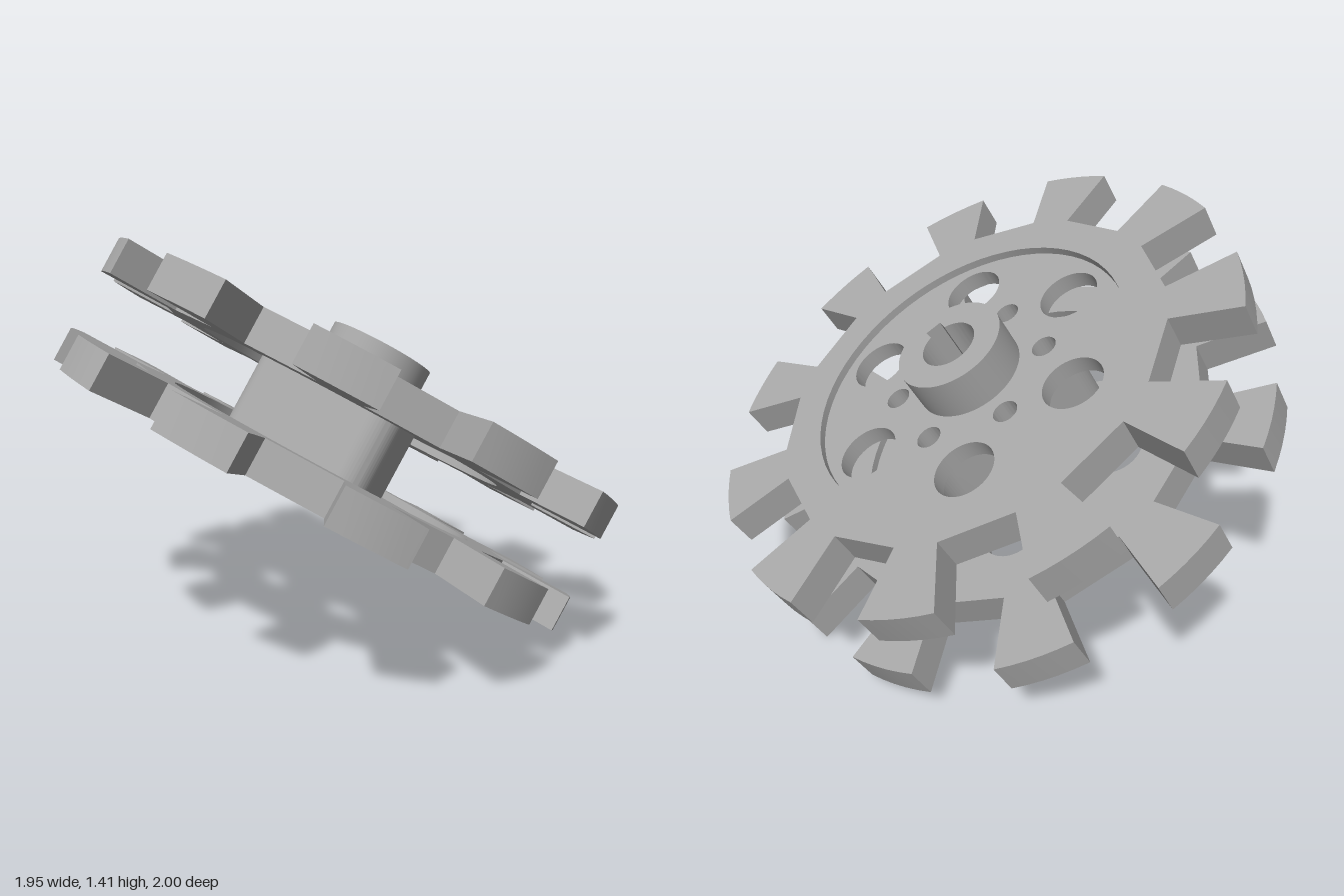
import * as THREE from 'three';
import { toCreasedNormals } from 'three/addons/utils/BufferGeometryUtils.js';

const HALF = 0.235;      // half the height of the disc stack
const THICK = 0.125;     // disc thickness
const RECESS = 0.03;     // depth of the round recess on each disc face
const RECESS_R = 0.6;
const SLOTS = 11;
const BOLT_R = 0.29;     // radius of the bolt circle

const polar = (r, a) => new THREE.Vector2(r * Math.cos(a), r * Math.sin(a));

function circlePath(x, y, r, Type = THREE.Path) {
  const p = new Type();
  p.absarc(x, y, r, 0, Math.PI * 2, false);
  return p;
}

// Round bore with a keyway towards +z
function borePath() {
  const r = 0.1, w = 0.03, a = Math.asin(w / r);
  const p = new THREE.Path();
  p.absarc(0, 0, r, -Math.PI / 2 + a, Math.PI * 1.5 - a, false);
  p.lineTo(-w, -0.135);
  p.lineTo(w, -0.135);
  p.closePath();
  return p;
}

// Outline with tapered flat-bottomed slots; turn is the angle of the first slot
function slottedOutline(turn) {
  const pts = [], step = Math.PI * 2 / SLOTS;
  const root = 0.735, rootHalf = 0.133, mouth = Math.asin(0.15);
  for (let i = 0; i < SLOTS; i++) {
    const a = turn + i * step;
    for (const side of [-1, 1]) {
      const p = new THREE.Vector2(root, side * rootHalf);
      pts.push(p.rotateAround(new THREE.Vector2(), a));
    }
    for (let k = 0; k <= 5; k++) {
      pts.push(polar(1, a + mouth + (step - 2 * mouth) * k / 5));
    }
  }
  return new THREE.Shape(pts);
}

// Triangle with corners rounded about three of the bolt holes
function spacerShape() {
  const s = new THREE.Shape();
  for (let i = 0; i < 3; i++) {
    const a = -Math.PI / 2 + i * Math.PI * 2 / 3, c = polar(BOLT_R, a);
    s.absarc(c.x, c.y, 0.09, a - Math.PI / 3, a + Math.PI / 3, false);
    s.holes.push(circlePath(c.x, c.y, 0.045));
  }
  s.closePath();
  s.holes.push(borePath());
  return s;
}

// Disc web with six large openings and six bolt holes
function webShape() {
  const s = circlePath(0, 0, RECESS_R, THREE.Shape);
  for (let i = 0; i < 6; i++) {
    const big = polar(0.45, i * Math.PI / 3);
    const bolt = polar(BOLT_R, (i + 0.5) * Math.PI / 3);
    s.holes.push(circlePath(big.x, big.y, 0.11), circlePath(bolt.x, bolt.y, 0.045));
  }
  s.holes.push(borePath());
  return s;
}

export function createModel() {
  const steel = new THREE.MeshStandardMaterial({ color: 0xa8a8a8 });
  steel.name = 'grey steel';
  const model = new THREE.Group();
  model.name = 'slottedWheelPair';

  // Extrudes a shape along the wheel axis between two heights
  function plate(name, shape, from, to, parent) {
    const geo = new THREE.ExtrudeGeometry(shape, {
      depth: to - from, bevelEnabled: false, curveSegments: 32,
    });
    geo.rotateX(-Math.PI / 2);
    geo.translate(0, from, 0);
    const mesh = new THREE.Mesh(toCreasedNormals(geo, 0.5), steel);
    mesh.name = name;
    parent.add(mesh);
  }

  // Two slotted discs, turned half a revolution from each other
  for (const [name, bottom, turn] of [
    ['upperDisc', HALF - THICK, 0],
    ['lowerDisc', -HALF, Math.PI],
  ]) {
    const disc = new THREE.Group();
    disc.name = name;
    const rim = slottedOutline(turn);
    rim.holes.push(circlePath(0, 0, RECESS_R));
    plate('slottedRim', rim, bottom, bottom + THICK, disc);
    plate('web', webShape(), bottom + RECESS, bottom + THICK - RECESS, disc);
    model.add(disc);
  }

  // Spacer between the two webs
  const inner = HALF - THICK + RECESS;
  plate('spacer', spacerShape(), -inner, inner, model);

  // Raised hub on the upper disc
  const hub = circlePath(0, 0, 0.197, THREE.Shape);
  hub.holes.push(borePath());
  plate('hub', hub, HALF - RECESS, 0.358, model);

  // Tilt the axis towards +x and stand on the lowest tooth
  model.rotation.z = -Math.PI / 6;
  model.position.y = 0.5 + HALF * Math.cos(Math.PI / 6);
  return model;
}
